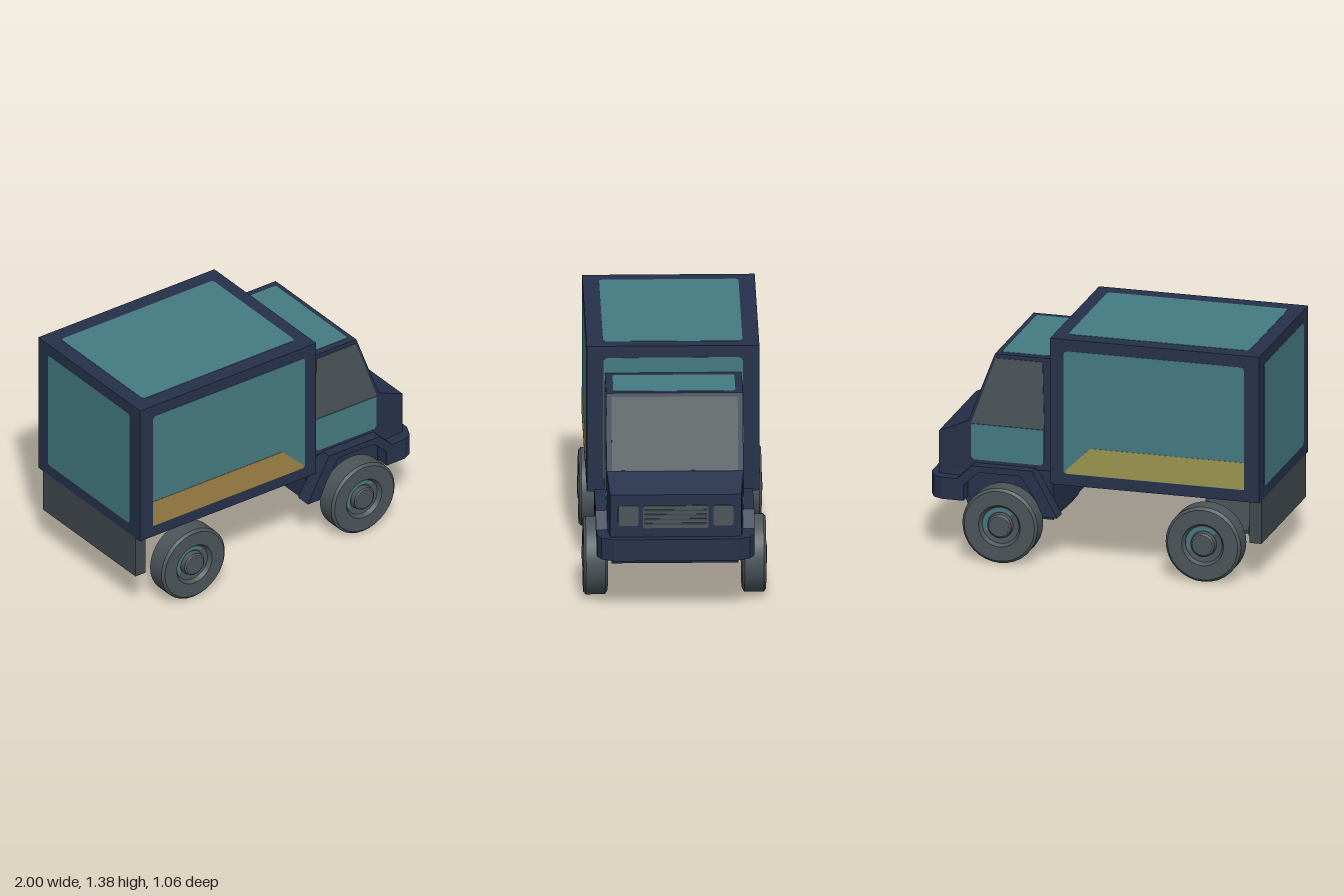
import * as THREE from 'three';
import { toCreasedNormals } from 'three/addons/utils/BufferGeometryUtils.js';

const paint = (name, color) => {
  const m = new THREE.MeshStandardMaterial({ color });
  m.name = name;
  return m;
};

export function createModel() {
  const truck = new THREE.Group();
  truck.name = 'boxTruck';
  const navy = paint('navy', 0x26314b);
  const teal = paint('teal', 0x457a82);
  const grey = paint('grey', 0x4c5559);
  const darkGrey = paint('darkGrey', 0x41494d);
  const amber = paint('amber', 0x9f8345);
  const olive = paint('olive', 0x9a9650);

  const add = (name, geo, mat, parent = truck) => {
    const mesh = new THREE.Mesh(geo, mat);
    mesh.name = name;
    parent.add(mesh);
    return mesh;
  };
  const box = (name, mat, x0, x1, y0, y1, z0, z1) =>
    add(name, new THREE.BoxGeometry(x1 - x0, y1 - y0, z1 - z0), mat)
      .position.set((x0 + x1) / 2, (y0 + y1) / 2, (z0 + z1) / 2);
  const poly = (pts) => new THREE.Shape(pts.map(([x, y]) => new THREE.Vector2(x, y)));
  const extrude = (shape, depth) =>
    new THREE.ExtrudeGeometry(shape, { depth, bevelEnabled: false, curveSegments: 4 });
  // side profile in x/y, extruded from z0 to z1
  const slab = (name, mat, pts, z0, z1) =>
    add(name, extrude(poly(pts), z1 - z0).translate(0, 0, z0), mat);
  // rounded rectangle plate with its back on local z = 0
  const plate = (x0, x1, y0, y1, r = 0.025, depth = 0.005) => {
    const s = new THREE.Shape();
    s.moveTo(x0 + r, y0);
    s.lineTo(x1 - r, y0).quadraticCurveTo(x1, y0, x1, y0 + r);
    s.lineTo(x1, y1 - r).quadraticCurveTo(x1, y1, x1 - r, y1);
    s.lineTo(x0 + r, y1).quadraticCurveTo(x0, y1, x0, y1 - r);
    s.lineTo(x0, y0 + r).quadraticCurveTo(x0, y0, x0 + r, y0);
    return extrude(s, depth);
  };
  const facingFront = (g, x) => g.rotateY(Math.PI / 2).translate(x, 0, 0);
  const facingUp = (g, y) => g.rotateX(-Math.PI / 2).translate(0, y, 0);

  // cargo box with its inset panels
  const W = 0.495;
  box('cargoBox', navy, -1, 0.25, 0.5, 1.38, -W, W);
  add('cargoRoofPanel', facingUp(plate(-0.91, 0.17, -0.4, 0.4), 1.377), teal);
  add('cargoFrontPanel', facingFront(plate(-0.4, 0.4, 0.57, 1.31), 0.247), teal);
  add('cargoRearPanel', facingFront(plate(-0.4, 0.4, 0.57, 1.31), -1.002), teal);
  for (const s of [1, -1]) {
    const z = s > 0 ? W - 0.003 : -W - 0.002;
    add('cargoSidePanel', plate(-0.91, 0.17, 0.57, 1.31).translate(0, 0, z), teal);
    slab('cargoStripe', s > 0 ? amber : olive,
      [[-0.91, 0.572], [0.157, 0.572], [0.157, 0.59], [0.01, 0.735], [-0.91, 0.735]],
      s > 0 ? W : -W - 0.004, s > 0 ? W + 0.004 : -W);
  }

  // rear bumper
  box('rearBumper', darkGrey, -1, -0.93, 0.24, 0.5, -0.45, 0.45);
  box('rearBumperRail', darkGrey, -0.99, -0.92, 0.28, 0.33, -0.44, 0.44);

  // cab, tapering a little toward the nose
  const cab = slab('cab', navy, [[0.255, 0.54], [0.72, 0.54], [0.8, 0.46], [0.95, 0.46],
    [0.95, 0.72], [0.77, 0.8], [0.61, 1.22], [0.255, 1.22]], -0.392, 0.392);
  const p = cab.geometry.attributes.position;
  for (let i = 0; i < p.count; i++) if (p.getX(i) > 0.9) p.setZ(i, p.getZ(i) * 0.96);
  cab.geometry.computeVertexNormals();
  slab('cabFloor', navy, [[0.27, 0.24], [0.76, 0.24], [0.8, 0.34], [0.8, 0.46],
    [0.72, 0.545], [0.27, 0.545]], -0.365, 0.365);
  add('cabRoofPanel', facingUp(plate(0.3, 0.58, -0.35, 0.35, 0.015), 1.217), teal);

  // windscreen, laid on the sloping front
  const at = (t, d) => [0.61 + 0.16 * t + 0.935 * d, 1.22 - 0.42 * t + 0.356 * d];
  slab('windscreen', grey, [at(0.05, 0), at(0.99, 0), at(0.99, 0.005), at(0.05, 0.005)], -0.362, 0.362);

  // nose details
  add('grille', facingFront(plate(-0.188, 0.188, 0.52, 0.655, 0.015, 0.008), 0.95), grey);
  for (let i = 0; i < 4; i++)
    box('grilleBar', darkGrey, 0.956, 0.963, 0.54 + i * 0.027, 0.552 + i * 0.027, -0.18, 0.18);
  for (const [a, b] of [[0.215, 0.33], [-0.33, -0.215]])
    add('headlight', facingFront(plate(a, b, 0.533, 0.655, 0.015, 0.006), 0.949), grey);

  // front bumper with angled corners
  const bumper = poly([[0.78, -0.452], [0.91, -0.452], [0.965, -0.425], [1, -0.35],
    [1, 0.35], [0.965, 0.425], [0.91, 0.452], [0.78, 0.452]]);
  add('frontBumper', facingUp(extrude(bumper, 0.13), 0.335), navy);

  // doors, side windows and wheel arches
  for (const s of [1, -1]) {
    const z = (a, b) => (s > 0 ? [a, b] : [-b, -a]);
    slab('sideWindow', grey, [[0.315, 0.79], [0.752, 0.79], [0.605, 1.195], [0.325, 1.195]], ...z(0.39, 0.396));
    slab('doorPanel', teal, [[0.335, 0.572], [0.735, 0.572], [0.752, 0.59], [0.752, 0.785],
      [0.318, 0.785], [0.318, 0.59]], ...z(0.39, 0.396));
    slab('wheelArch', navy, [[0.22, 0.28], [0.305, 0.28], [0.35, 0.38], [0.44, 0.515], [0.69, 0.515],
      [0.79, 0.42], [0.82, 0.42], [0.82, 0.465], [0.73, 0.552], [0.37, 0.552]], ...z(0.36, 0.455));
  }

  // wheels, profile from inner face to outer hub
  const tyre = toCreasedNormals(new THREE.LatheGeometry([[0, -0.07], [0.2, -0.07], [0.225, -0.055],
    [0.225, 0.055], [0.21, 0.069], [0.125, 0.069], [0.11, 0.045], [0.075, 0.04], [0.07, 0.068],
    [0.06, 0.075], [0, 0.075]].map(([r, y]) => new THREE.Vector2(r, y)), 32), 0.5).rotateX(Math.PI / 2);
  const rimArc = new THREE.RingGeometry(0.082, 0.104, 20, 1, 0.8, 2.8).translate(0, 0, 0.047);
  for (const [x, s] of [[0.57, 1], [0.545, -1], [-0.635, 1], [-0.67, -1]]) {
    const wheel = new THREE.Group();
    wheel.name = (x > 0 ? 'front' : 'rear') + (s > 0 ? 'Left' : 'Right') + 'Wheel';
    add('tyre', tyre, grey, wheel);
    add('rimArc', rimArc, teal, wheel);
    wheel.position.set(x, 0.225, s * 0.455);
    if (s < 0) wheel.rotation.y = Math.PI;
    truck.add(wheel);
  }
  return truck;
}
